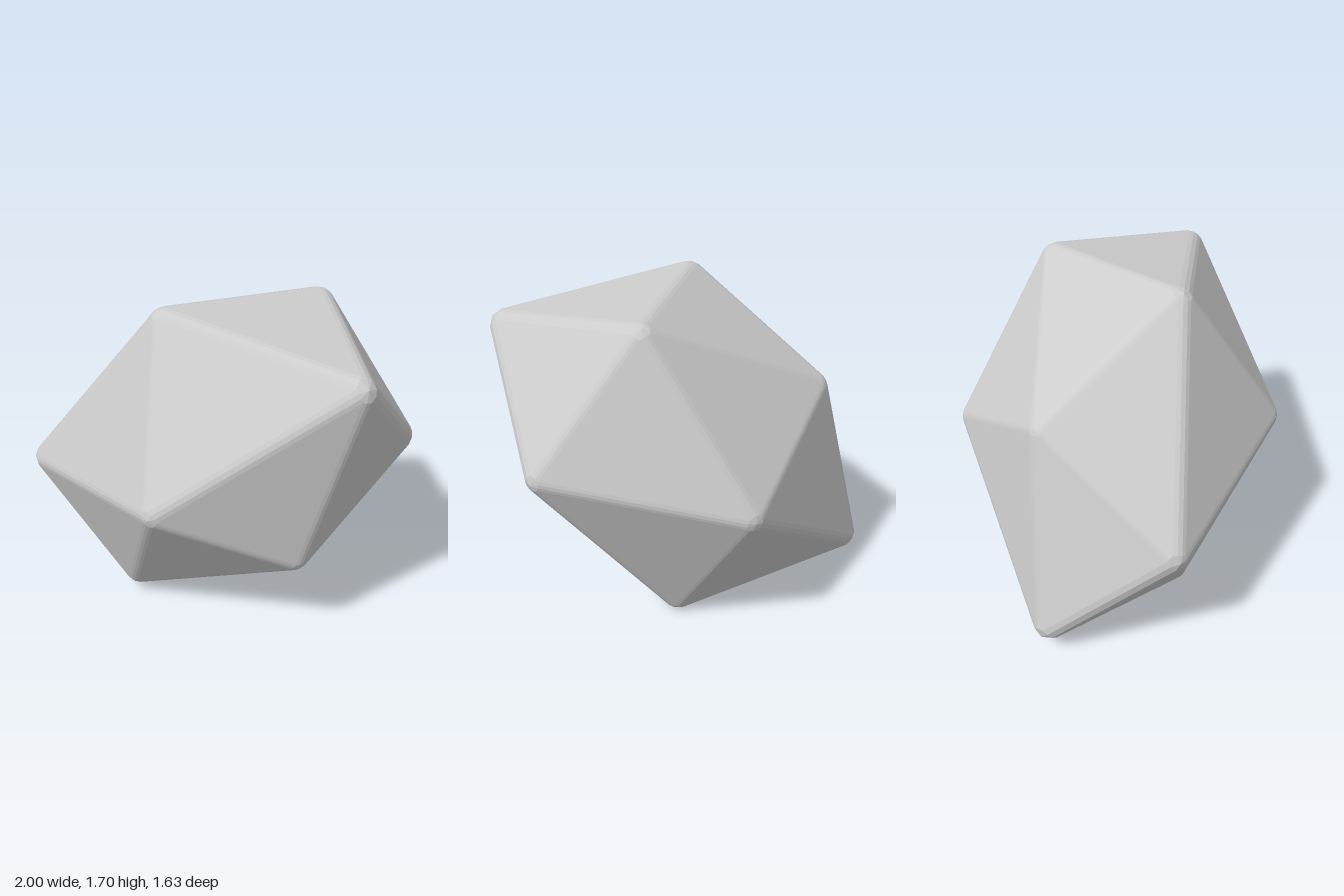
import * as THREE from 'three';
import { ConvexGeometry } from 'three/addons/geometries/ConvexGeometry.js';

const BEVEL = 0.08;
const CENTRE = new THREE.Vector3(0, 0.84, 0);

// Tips of the skewed icosahedron; tip i + 6 lies opposite tip i
const TIPS = [
  [-0.24, 1.68, 0.26], [0.49, 1.645, -0.285], [0.765, 1.52, 0.585],
  [1.0, 0.95, -0.09], [-0.175, 0.88, 0.815], [0.51, 0.515, 0.56],
  [0.3, 0.0, -0.265], [-0.425, 0.06, 0.26], [-0.78, 0.12, -0.54],
  [-1.0, 0.715, 0.095], [0.25, 0.8, -0.815], [-0.505, 1.19, -0.49],
].map((p) => new THREE.Vector3(...p));

// Half of the faces, then the opposite half
const HALF_FACES = [
  [0, 1, 2], [0, 2, 4], [0, 4, 9], [0, 9, 11], [0, 11, 1],
  [1, 2, 3], [2, 4, 5], [4, 9, 7], [9, 11, 8], [11, 1, 10],
];
const FACES = [...HALF_FACES, ...HALF_FACES.map((f) => f.map((i) => (i + 6) % 12))];

// Outward normal of every face for a given set of corners
function faceNormals(corners) {
  return FACES.map((ids) => {
    const [a, b, c] = ids.map((i) => corners[i]);
    const normal = b.clone().sub(a).cross(c.clone().sub(a)).normalize();
    return normal.dot(a.clone().sub(CENTRE)) < 0 ? normal.negate() : normal;
  });
}

// Mean direction of the five faces that meet at corner i
function tipNormal(normals, i) {
  const sum = new THREE.Vector3();
  FACES.forEach((ids, f) => { if (ids.includes(i)) sum.add(normals[f]); });
  return sum.normalize();
}

function bevelledStone() {
  // Core corners: tips pulled in by the bevel radius
  const sharp = faceNormals(TIPS);
  const core = TIPS.map((tip, i) => tip.clone().addScaledVector(tipNormal(sharp, i), -BEVEL));
  const normals = faceNormals(core);

  // Round each corner with the tip, face and edge directions of a small ball
  const points = [];
  core.forEach((corner, i) => {
    const add = (dir) => points.push(corner.clone().addScaledVector(dir.normalize(), BEVEL));
    const around = FACES.map((ids, f) => f).filter((f) => FACES[f].includes(i));
    add(tipNormal(normals, i));
    around.forEach((f, k) => {
      add(normals[f].clone());
      for (const g of around.slice(k + 1)) {
        const shared = FACES[f].filter((n) => FACES[g].includes(n)).length;
        if (shared !== 2) continue;
        for (const t of [1 / 3, 2 / 3]) add(normals[f].clone().lerp(normals[g], t));
      }
    });
  });
  return new ConvexGeometry(points);
}

export function createModel() {
  const group = new THREE.Group();
  group.name = 'stone';
  const grey = new THREE.MeshStandardMaterial({ color: 0xcccccc });
  grey.name = 'stone grey';
  const body = new THREE.Mesh(bevelledStone(), grey);
  body.name = 'bevelledStone';
  group.add(body);
  return group;
}
